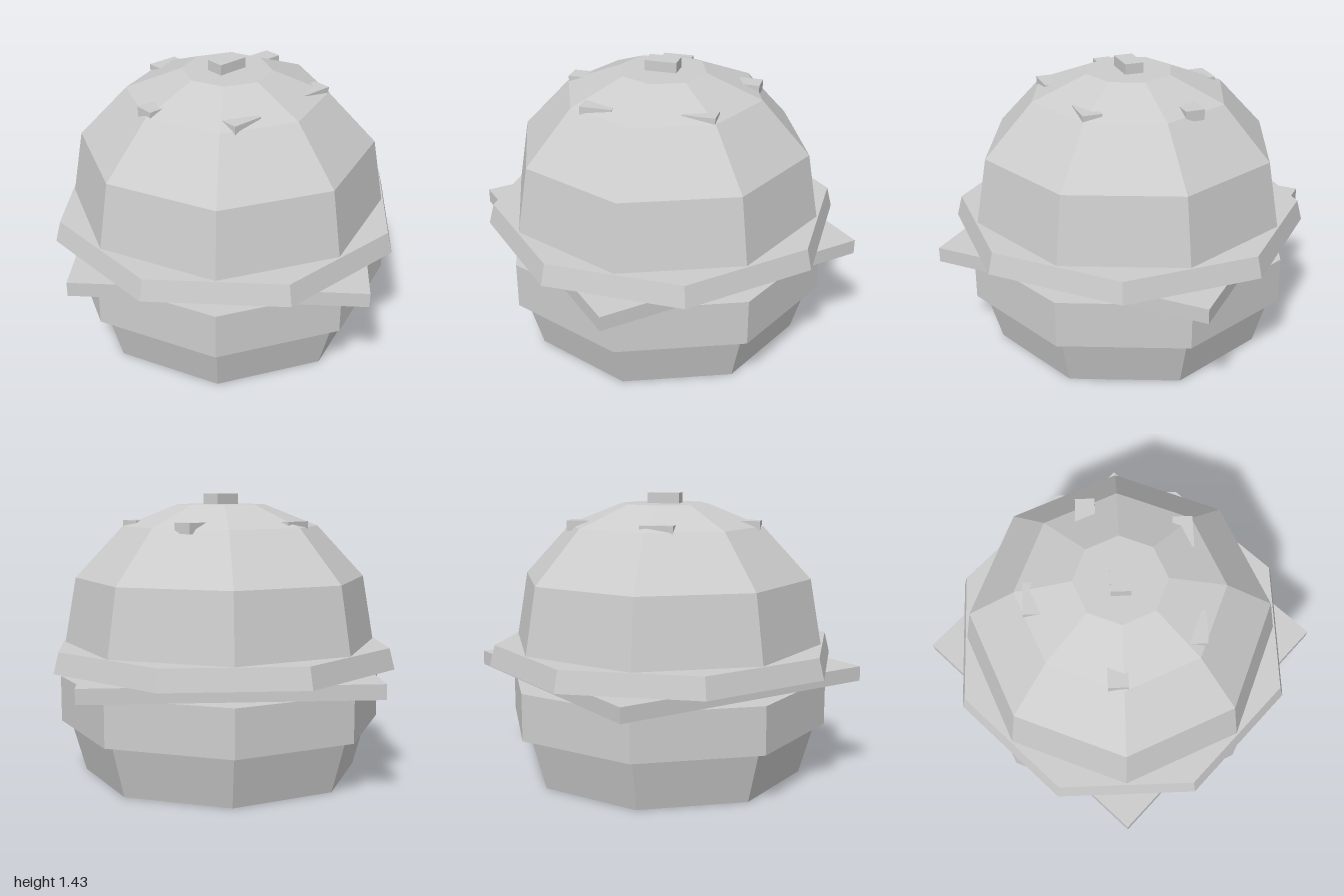
import * as THREE from 'three';

export function createModel() {
  const group = new THREE.Group();
  group.name = 'burger';
  const grey = new THREE.MeshStandardMaterial({ color: 0xcccccc, flatShading: true, side: THREE.DoubleSide });
  grey.name = 'plain grey';

  const add = (name, geometry, x = 0, y = 0, z = 0) => {
    const mesh = new THREE.Mesh(geometry, grey);
    mesh.name = name;
    mesh.position.set(x, y, z);
    group.add(mesh);
  };

  // A faceted layer between two heights; by default its corners lie on the axes
  const layer = (name, y0, y1, r0, r1, { sides = 8, turn = 0, open = false } = {}) =>
    add(name, new THREE.CylinderGeometry(r1, r0, y1 - y0, sides, 1, open, turn), 0, (y0 + y1) / 2, 0);

  // The bottom bun is a hollow ring, closed above by the patty
  layer('bottomBun', 0, 0.262, 0.705, 0.78, { open: true });
  layer('patty', 0.262, 0.497, 0.828, 0.828);
  layer('cheeseSlice', 0.497, 0.571, 1, 1, { sides: 4 });
  layer('tomatoSlice', 0.571, 0.676, 0.902, 0.875, { turn: Math.PI / 8 });

  // Domed top bun with a small flat crown, resting on the tomato
  const profile = [[0.8, 0.676], [0.742, 1.006], [0.5, 1.266], [0.222, 1.376], [0, 1.376]];
  add('topBun', new THREE.LatheGeometry(profile.map(([r, y]) => new THREE.Vector2(r, y)), 8));

  // Sesame seeds: one on the crown, five partly sunk in the dome
  const seed = new THREE.BoxGeometry(0.16, 0.052, 0.095);
  const seeds = [
    [0, 1.403, 0],
    [-0.045, 1.27, -0.408],
    [0.38, 1.27, -0.155],
    [-0.41, 1.27, -0.027],
    [-0.215, 1.27, 0.343],
    [0.27, 1.27, 0.308],
  ];
  seeds.forEach(([x, y, z], i) => add('sesameSeed' + (i + 1), seed, x, y, z));

  return group;
}
